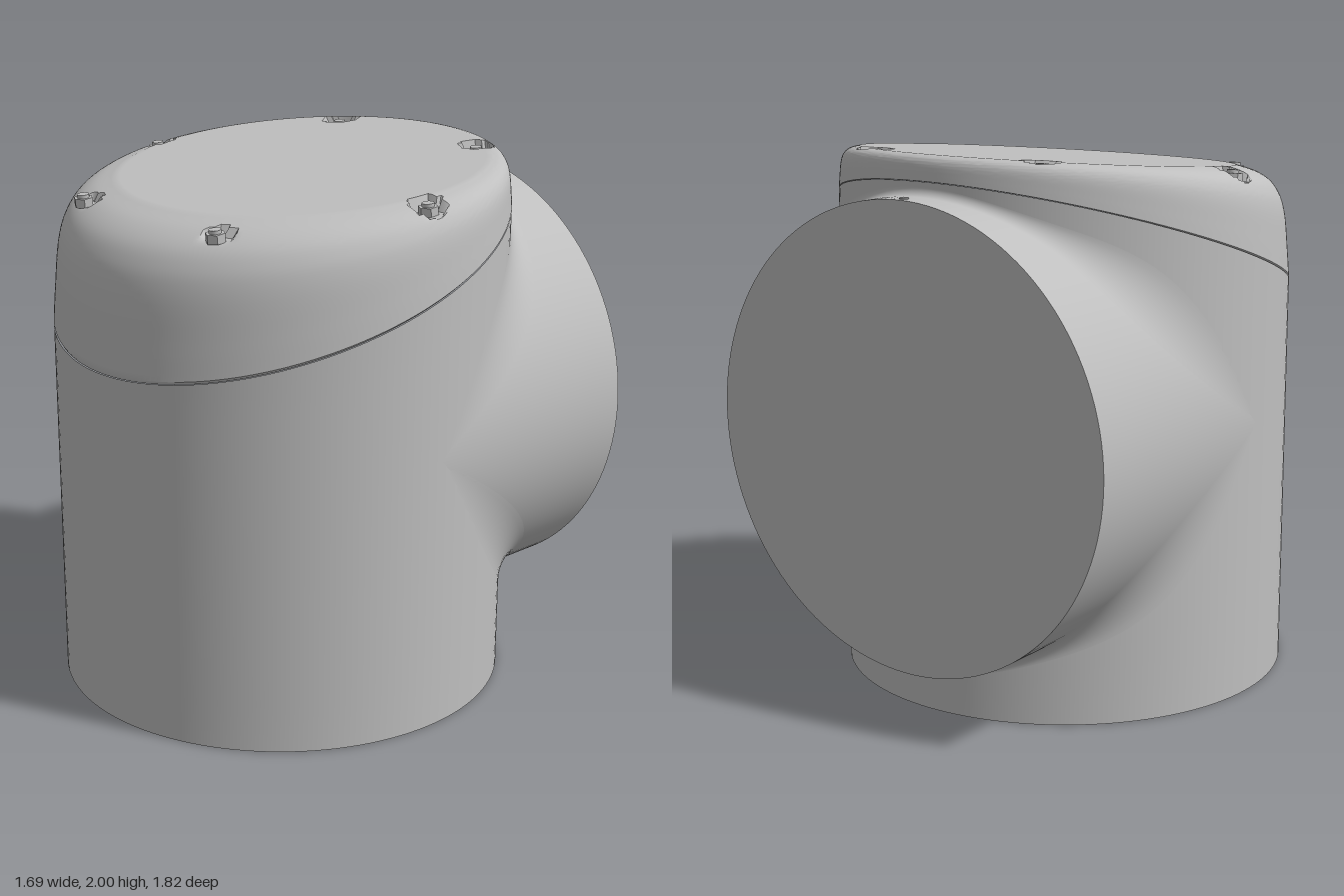
import * as THREE from 'three';
import { mergeVertices, toCreasedNormals } from 'three/addons/utils/BufferGeometryUtils.js';

const R = 0.845;      // radius of both the upright body and the side pipe
const CZ = 0.065;     // z of the upright axis
const CY = 1.018;     // y of the pipe axis
const END = -0.905;   // open end of the pipe
const TAU = Math.PI * 2;

const seamY = z => 1.641 - 0.347 * z;   // tilted plane where the lid meets the body
const topY = z => 1.937 - 0.087 * z;    // gently sloping lid top

// Surface from point(u, v); its front faces along du x dv
function surface(nu, nv, point) {
  const pos = [], index = [];
  for (let j = 0; j <= nv; j++)
    for (let i = 0; i <= nu; i++) pos.push(...point(i / nu, j / nv).toArray());
  for (let j = 0; j < nv; j++)
    for (let i = 0; i < nu; i++) {
      const a = j * (nu + 1) + i, d = a + nu + 1;
      index.push(a, a + 1, d + 1, a, d + 1, d);
    }
  const g = new THREE.BufferGeometry();
  g.setAttribute('position', new THREE.Float32BufferAttribute(pos, 3));
  g.setIndex(index);
  const merged = mergeVertices(g);
  merged.computeVertexNormals();
  return merged;
}

export function createModel() {
  const group = new THREE.Group();
  const grey = new THREE.MeshStandardMaterial({ color: 0xbfbfbf });
  grey.name = 'grey';
  const add = (name, geometry) => {
    const mesh = new THREE.Mesh(geometry, grey);
    mesh.name = name;
    group.add(mesh);
    return mesh;
  };

  // Upright body, cut off along the tilted seam
  add('body', surface(128, 8, (u, v) => {
    const z = CZ + R * Math.cos(u * TAU);
    return new THREE.Vector3(R * Math.sin(u * TAU), v * seamY(z), z);
  }));
  add('bodyBase', new THREE.CircleGeometry(R, 128).rotateX(Math.PI / 2)).position.z = CZ;

  // Side pipe, trimmed where it enters the body
  add('pipe', surface(128, 6, (u, v) => {
    const c = Math.cos(u * TAU), s = Math.sin(u * TAU);
    return new THREE.Vector3(R * c, CY + R * s, THREE.MathUtils.lerp(END, CZ - R * Math.abs(s), v));
  }));
  add('pipeEnd', new THREE.CircleGeometry(R, 128).rotateY(Math.PI)).position.set(0, CY, END);

  // Rolling blend between pipe and body, wide at the sides and tight at top and bottom
  add('blend', surface(128, 10, (u, v) => {
    const c = Math.cos(u * TAU), s = Math.sin(u * TAU), m = Math.abs(s);
    const r = 0.03 + 0.5 * c ** 4;
    const centre = new THREE.Vector3((R + r) * c, CY + (R + r) * s, CZ - (R + r) * m);
    const toPipe = new THREE.Vector3(-c, -s, 0), toBody = new THREE.Vector3(-c, 0, m);
    return centre.addScaledVector(toPipe.lerp(toBody, v).normalize(), r);
  }));

  // Bolt positions around the lid
  const bolts = [];
  for (let i = 0; i < 6; i++) {
    const a = i * TAU / 6;
    bolts.push([0.735 * Math.cos(a), 0.05 + 0.735 * Math.sin(a)]);
  }
  const floorY = z => topY(z) - 0.05;

  // Lid: (inset, height share) profile scaled to the local lid height, with bolt pockets pressed in
  const profile = new THREE.CatmullRomCurve3([
    [0, 0.02], [0.01, 0.25], [0.03, 0.6], [0.055, 0.75], [0.1, 0.87], [0.17, 0.95], [0.27, 1],
  ].map(([x, y]) => new THREE.Vector3(x, y, 0)));
  const rows = 72, wall = 32;
  const lid = surface(240, rows, (u, v) => {
    const j = Math.round(v * rows), s = Math.sin(u * TAU), c = Math.cos(u * TAU);
    const rimZ = CZ + R * c, base = seamY(rimZ);
    const scale = (topY(rimZ) - base) / 0.533;
    let inset = 0.006, share = 0;          // first row forms the fine seam groove
    if (j > 0) {
      const p = profile.getPoint(Math.min(1, (j - 1) / (wall - 1)));
      inset = p.x * scale;
      share = p.y;
    }
    let r = R - inset;
    if (j > wall) r *= (rows - j) / (rows - wall);
    const x = r * s, z = CZ + r * c;
    let y = base + Math.min(1, share) * (topY(z) - base);
    if (j > 1)
      for (const [bx, bz] of bolts)
        if (Math.hypot(x - bx, z - bz) < 0.062) y = Math.min(y, floorY(z));
    return new THREE.Vector3(x, y, z);
  });
  add('lid', toCreasedNormals(lid, 0.6));

  // Hex bolts with a round stud, seated in the pockets
  const hex = toCreasedNormals(new THREE.CylinderGeometry(0.036, 0.036, 0.032, 6), 0.5);
  const stud = new THREE.CylinderGeometry(0.022, 0.022, 0.045, 20);
  bolts.forEach(([x, z]) => {
    const bolt = new THREE.Group();
    bolt.name = 'bolt';
    [[hex, 0.014, 'boltHead'], [stud, 0.02, 'boltStud']].forEach(([g, y, name]) => {
      const mesh = new THREE.Mesh(g, grey);
      mesh.name = name;
      mesh.position.y = y;
      bolt.add(mesh);
    });
    bolt.position.set(x, floorY(z), z);
    bolt.rotation.x = Math.atan(0.087);
    group.add(bolt);
  });

  // Small plug on top of the pipe
  add('pipePlug', new THREE.CylinderGeometry(0.017, 0.017, 0.008, 20)).position.set(0, CY + R, -0.87);

  return group;
}
